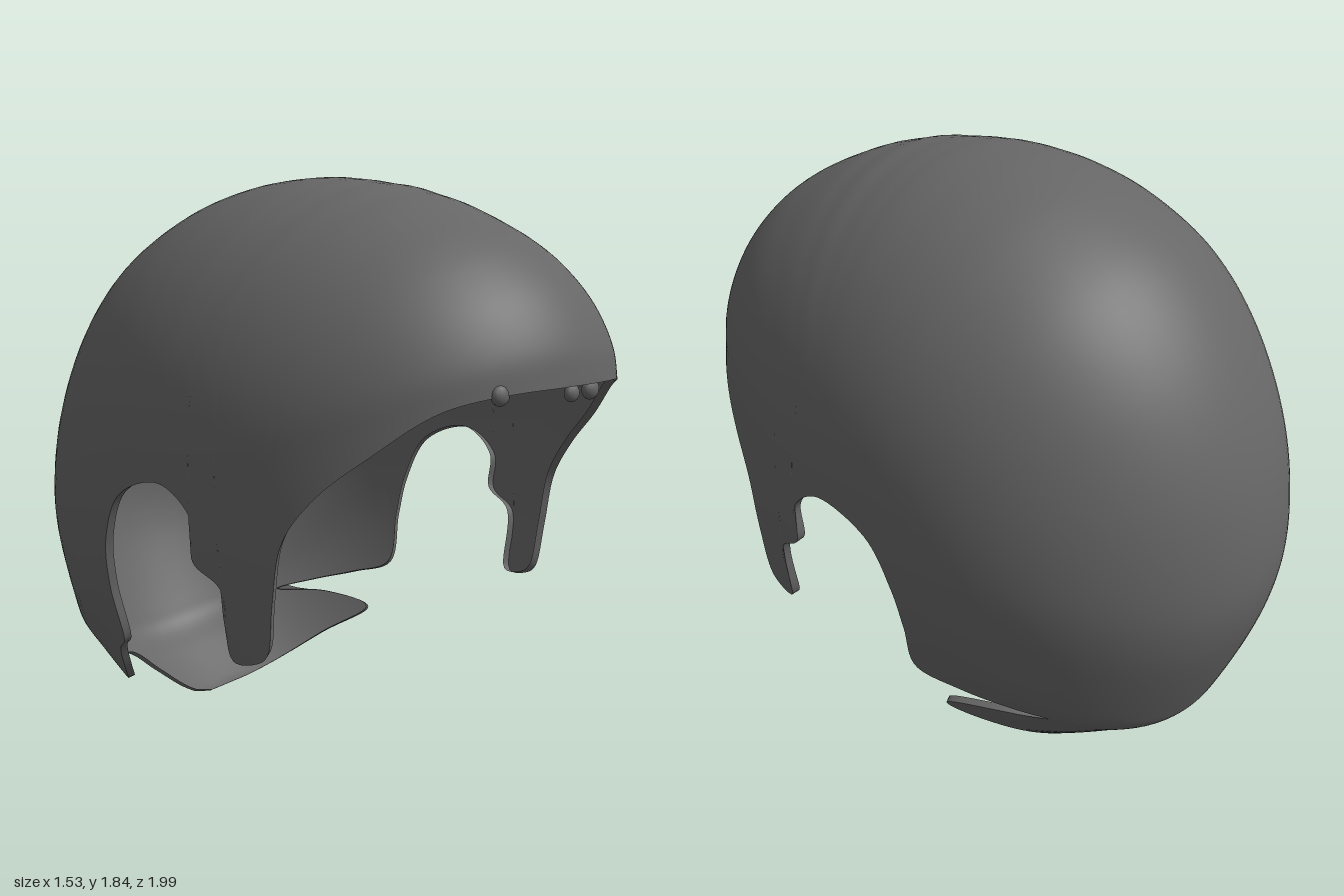
import * as THREE from 'three';
import { mergeVertices } from 'three/addons/utils/BufferGeometryUtils.js';

const CY = 0.95;               // height of the shell's centre
const COLS = 24 * 8, ROWS = 26;

// Midline outline (z, y) from the brow over the crown to the nape
const midline = [
  [.99, 1.25], [.97, 1.36], [.9, 1.49], [.8, 1.595], [.7, 1.665], [.58, 1.725], [.47, 1.77],
  [.4, 1.79], [.33, 1.81], [.26, 1.82], [.2, 1.83], [.15, 1.835], [.1, 1.84], [0, 1.84],
  [-.15, 1.825], [-.35, 1.77], [-.6, 1.63], [-.8, 1.4], [-.95, 1.07], [-1, .75], [-.975, .55],
  [-.86, .25], [-.82, .18], [-.72, .11], [-.55, 0],
];
// Continuation under the open face, only used to shape the width
const underside = [[-.1, -.25], [.4, -.3], [.8, -.1], [1, .4], [1.03, .9]];

// Lower edge (z, y), one point per midline point: brow, sideburn, ear notch
const rimFront = [
  [.99, 1.25], [.93, 1.24], [.82, 1.2], [.68, 1.08], [.56, .97], [.47, .84], [.435, .66],
  [.41, .51], [.38, .48], [.29, .47], [.275, .68], [.18, .75], [.18, .87], [.06, .96],
  [-.13, .9], [-.21, .75], [-.23, .6], [-.23, .42],
];
// The nape differs: a slit and a tab on the left, a plain edge on the right
const rimLeft = [...rimFront, [-.36, .37], [-.5, .33], [-.63, .285], [-.45, .29], [-.27, .25],
  [-.4, .15], [-.55, 0]];
const rimRight = [...rimFront, [-.29, .37], [-.34, .28], [-.4, .215], [-.55, .195], [-.71, .17],
  [-.66, .1], [-.55, 0]];

const curve = (pts, closed) =>
  new THREE.CatmullRomCurve3(pts.map(([z, y]) => new THREE.Vector3(0, y, z)), closed, 'centripetal');

const outline = curve([...midline, ...underside], true);
const outlineSpan = (midline.length - 1) / (midline.length + underside.length);
const samples = Array.from({ length: 1501 }, (_, i) => outline.getPoint(i / 1500));

// Outline radius from the centre in direction (z, y)
function outlineRadius(dz, dy) {
  const cross = (p) => dz * (p.y - CY) - dy * p.z;
  for (let i = 0; i < 1500; i++) {
    const a = samples[i], b = samples[i + 1];
    const ca = cross(a), cb = cross(b);
    if (ca * cb > 0 || ca === cb || a.z * dz + (a.y - CY) * dy < 0) continue;
    const k = ca / (ca - cb);
    return Math.hypot(a.z + (b.z - a.z) * k, a.y + (b.y - a.y) * k - CY);
  }
  return 1;
}

// Half width of the shell at a side-view position
function halfWidth(z, y) {
  const r = Math.hypot(z, y - CY);
  if (r < 1e-6) return 0.765;
  const rho = Math.min(1, r / outlineRadius(z, y - CY));
  return 0.765 * Math.sqrt(1 - Math.pow(rho, 2.15));
}

// Join a grid of points (columns of equal length) into triangles
function addGrid(grid, side, pos, idx) {
  const base = pos.length / 3, n = grid[0].length;
  grid.forEach((col) => col.forEach((p) => pos.push(p.x, p.y, p.z)));
  for (let i = 0; i < grid.length - 1; i++) {
    for (let j = 0; j < n - 1; j++) {
      const a = base + i * n + j, b = a + 1, c = a + n, d = c + 1;
      if (side > 0) idx.push(a, b, c, b, d, c);
      else idx.push(a, c, b, b, c, d);
    }
  }
}

function toGeometry(pos, idx) {
  let g = new THREE.BufferGeometry();
  g.setAttribute('position', new THREE.Float32BufferAttribute(pos, 3));
  g.setIndex(idx);
  g = mergeVertices(g, 1e-5);
  g.computeVertexNormals();
  return g;
}

export function createModel() {
  const group = new THREE.Group();
  group.name = 'hairCap';
  const material = new THREE.MeshStandardMaterial({ color: 0x666666, side: THREE.DoubleSide });
  const add = (name, geometry) => {
    const mesh = new THREE.Mesh(geometry, material);
    mesh.name = name;
    group.add(mesh);
    return mesh;
  };

  const shell = { pos: [], idx: [] }, lip = { pos: [], idx: [] };
  for (const [side, rimPoints] of [[1, rimLeft], [-1, rimRight]]) {
    const rim = curve(rimPoints, false);
    const columns = [], lipColumns = [];
    for (let i = 0; i <= COLS; i++) {
      const t = i / COLS;
      const top = outline.getPoint(t * outlineSpan), edge = rim.getPoint(t);
      const col = [];
      for (let j = 0; j <= ROWS; j++) {
        // Rows crowd towards the midline, where the surface turns fastest
        const p = top.clone().lerp(edge, (j / ROWS) ** 2);
        const onMidline = j === 0 || i === 0 || i === COLS;
        p.x = onMidline ? 0 : side * halfWidth(p.z, p.y);
        col.push(p);
      }
      columns.push(col);
      // Short lip turned inwards along the lower edge
      const last = col[ROWS];
      const inner = last.clone();
      inner.x *= 0.965;
      inner.z *= 0.975;
      inner.y += 0.008;
      lipColumns.push([last.clone(), inner]);
    }
    addGrid(columns, side, shell.pos, shell.idx);
    addGrid(lipColumns, side, lip.pos, lip.idx);
  }
  add('hairShell', toGeometry(shell.pos, shell.idx));
  add('edgeLip', toGeometry(lip.pos, lip.idx));

  // Small tufts hanging from the brow edge
  for (const [x, y, z, r] of [[-.045, 1.228, .965, .026], [.06, 1.23, .962, .03], [-.3, 1.238, .9, .03]]) {
    const tuft = add('browTuft', new THREE.SphereGeometry(r, 12, 8));
    tuft.position.set(x, y, z);
    tuft.scale.set(1.2, 1, 0.7);
  }
  return group;
}
